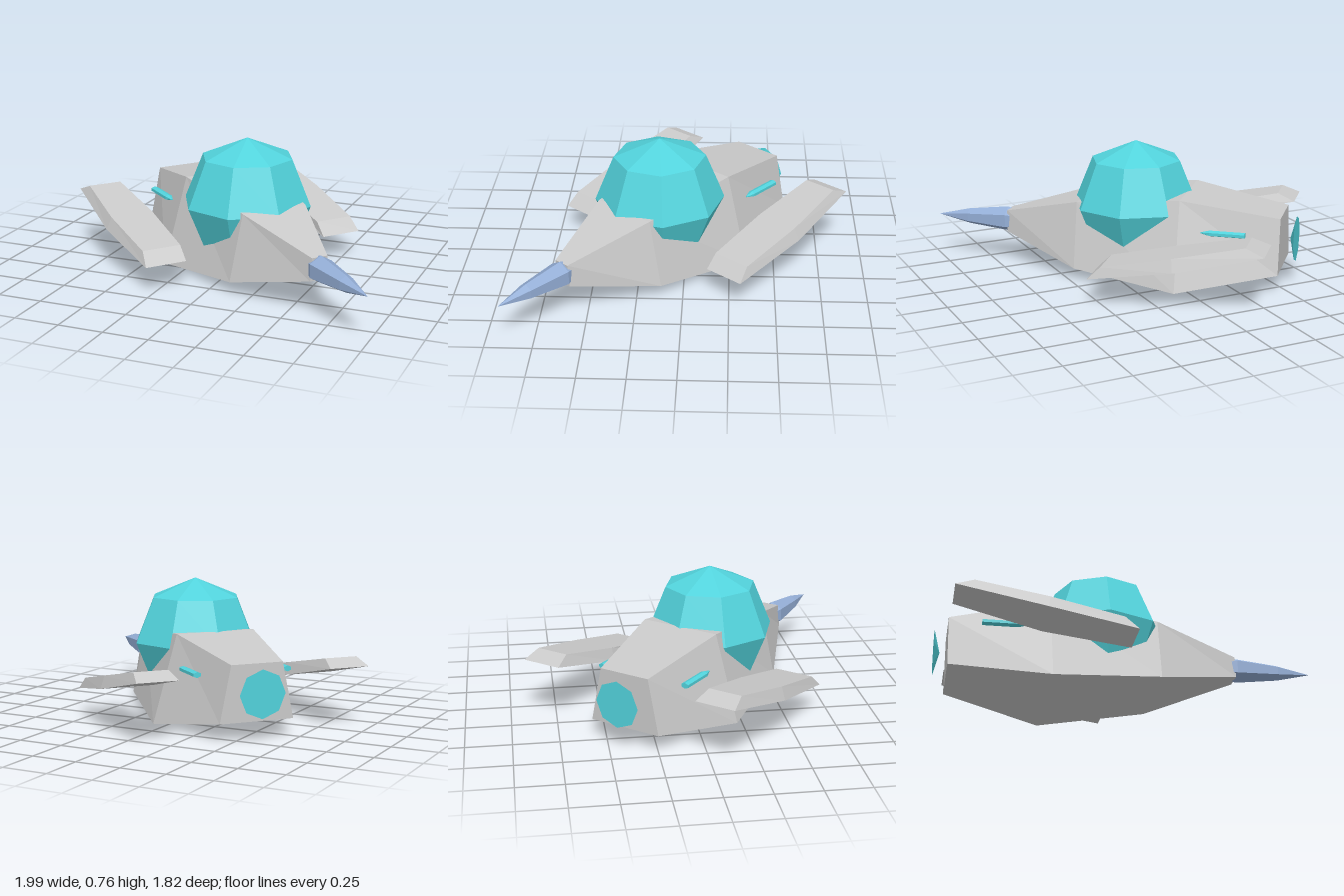
import * as THREE from 'three';

const hullGrey = new THREE.MeshStandardMaterial({ color: 0xcacaca });
hullGrey.name = 'hullGrey';
const glassTeal = new THREE.MeshStandardMaterial({ color: 0x52d3dc });
glassTeal.name = 'glassTeal';
const noseBlue = new THREE.MeshStandardMaterial({ color: 0x94aed6 });
noseBlue.name = 'noseBlue';

// Faceted mesh with hard edges
function facet(name, geometry, material) {
  const flat = geometry.index ? geometry.toNonIndexed() : geometry;
  flat.computeVertexNormals();
  const mesh = new THREE.Mesh(flat, material);
  mesh.name = name;
  return mesh;
}

// Skin over rings ordered back to front; each ring runs counter-clockwise seen from the front
function loft(rings) {
  const n = rings[0].length;
  const index = [];
  for (let k = 0; k < rings.length - 1; k++) {
    for (let i = 0; i < n; i++) {
      const j = (i + 1) % n;
      const a = k * n + i, b = k * n + j;
      index.push(a, b, b + n, a, b + n, a + n);
    }
  }
  const last = (rings.length - 1) * n;
  for (let i = 1; i < n - 1; i++) {
    index.push(0, i + 1, i, last, last + i, last + i + 1);
  }
  const g = new THREE.BufferGeometry();
  g.setAttribute('position', new THREE.Float32BufferAttribute(rings.flat(2), 3));
  g.setIndex(index);
  return g;
}

// Elliptical ring with a corner at the top
function ring(sides, cx, cy, z, rx, ry) {
  return Array.from({ length: sides }, (_, i) => {
    const t = Math.PI / 2 + (i / sides) * Math.PI * 2;
    return [cx + Math.cos(t) * rx, cy + Math.sin(t) * ry, z];
  });
}

export function createModel() {
  const group = new THREE.Group();
  group.name = 'spacecraft';
  const ship = new THREE.Group();
  ship.name = 'ship';
  group.add(ship);

  // Hull: trapezoid sections [z, bottom y, top y, bottom half width, top half width]
  const hull = [
    [-0.705, 0.095, 0.4, 0.21, 0.147],
    [-0.16, 0, 0.49, 0.37, 0.23],
    [0.44, 0.065, 0.432, 0.27, 0.19],
    [0.91, 0.187, 0.31, 0.055, 0.045],
  ].map(([z, y0, y1, b, t]) => [[b, y0, z], [t, y1, z], [-t, y1, z], [-b, y0, z]]);
  ship.add(facet('hull', loft(hull), hullGrey));

  // Nose spike
  const nose = [[0.85, 0.05], [0.92, 0.073], [1.16, 0.045], [1.348, 0.001]];
  ship.add(facet('noseSpike', loft(nose.map(([z, r]) => ring(6, 0, 0.248, z, r, r))), noseBlue));

  // Canopy dome, sunk into the hull
  const canopy = facet('canopy', new THREE.SphereGeometry(0.36, 8, 4), glassTeal);
  canopy.position.set(-0.006, 0.4, 0.147);
  ship.add(canopy);

  // Rear thruster disc: shallow cone with its flat side backwards
  const disc = [[-0.775, 0.13], [-0.742, 0.001]];
  ship.add(facet('thruster', loft(disc.map(([z, r]) => ring(8, 0, 0.25, z, r, r))), glassTeal));

  // Side pods: [bottom z, y, inner x, outer x, top z, y, inner x, outer x]
  const podSections = [
    [-0.7, 0.34, 0.43, 0.66, -0.6, 0.38, 0.45, 0.64],
    [-0.225, 0.23, 0.395, 0.692, -0.215, 0.3, 0.42, 0.665],
    [0.245, 0.15, 0.43, 0.664, 0.173, 0.22, 0.43, 0.65],
  ];
  for (const [side, s] of [['left', 1], ['right', -1]]) {
    const pod = podSections.map(([z0, y0, i0, o0, z1, y1, i1, o1]) => {
      const r = [[s * o0, y0, z0], [s * o1, y1, z1], [s * i1, y1, z1], [s * i0, y0, z0]];
      return s > 0 ? r : r.reverse();
    });
    ship.add(facet(side + 'Wing', loft(pod), hullGrey));

    // Slim side light rod with a tapered front
    const rod = [[-0.53, 0.024, 0.016], [-0.335, 0.024, 0.016], [-0.285, 0.004, 0.003]];
    ship.add(facet(side + 'LightRod',
      loft(rod.map(([z, rx, ry]) => ring(6, s * 0.262, 0.327, z, rx, ry))), glassTeal));
  }

  // Heading of the ship
  ship.rotation.y = THREE.MathUtils.degToRad(50);
  ship.position.set(-0.035, 0, 0.042);
  return group;
}
